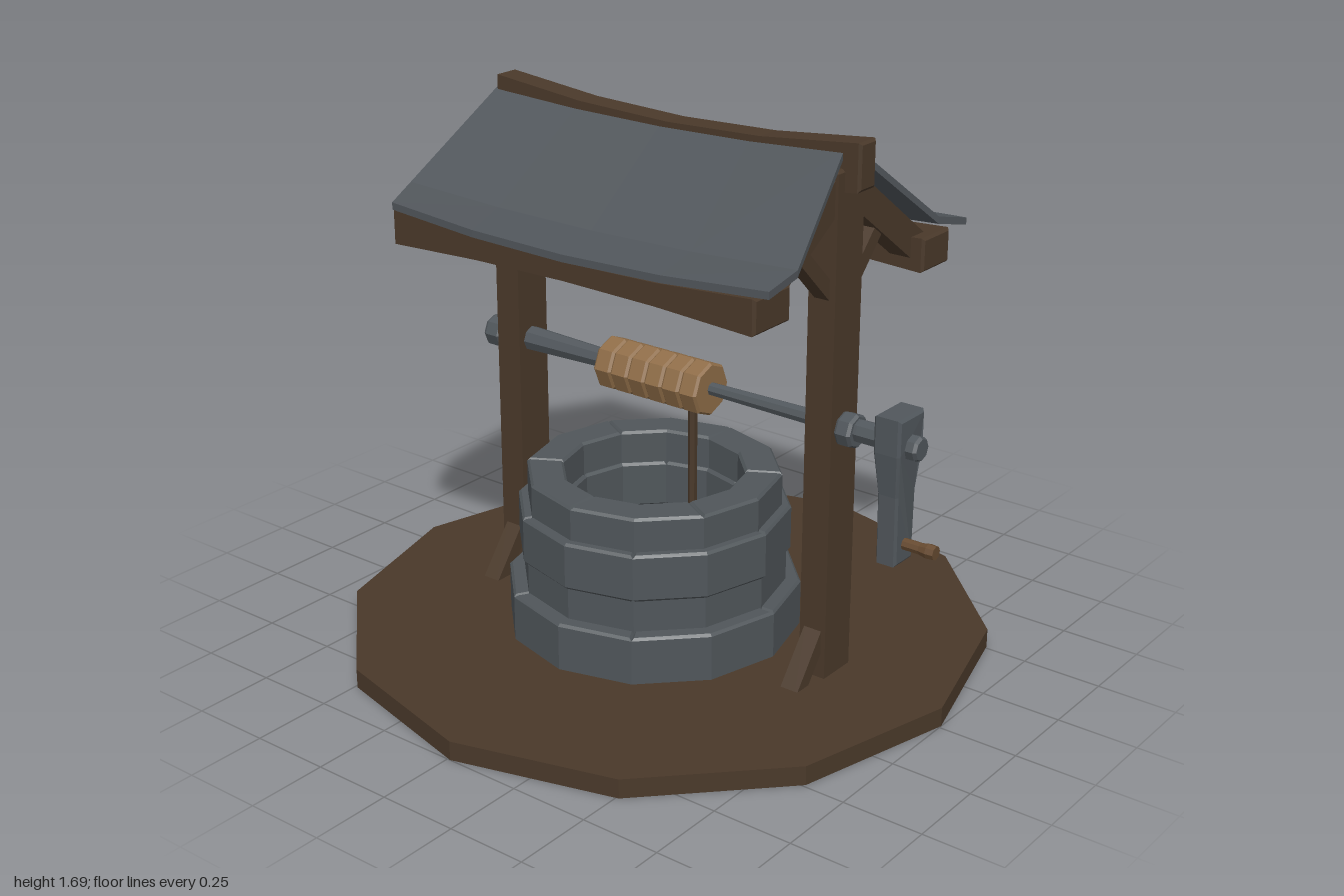
import * as THREE from 'three';

const mat = (name, color) => {
  const m = new THREE.MeshStandardMaterial({ color, flatShading: true });
  m.name = name;
  return m;
};

export function createModel() {
  const wood = mat('dark wood', 0x4a392a);
  const handleWood = mat('handle wood', 0x664a30);
  const stone = mat('stone', 0x50565a);
  const slate = mat('roof slate', 0x51565b);
  const iron = mat('iron', 0x51575c);
  const rope = mat('rope', 0x8f6d48);
  const model = new THREE.Group();
  model.name = 'well';

  const add = (name, geometry, material, parent = model) => {
    const mesh = new THREE.Mesh(geometry, material);
    mesh.name = name;
    parent.add(mesh);
    return mesh;
  };
  const group = (name) => {
    const g = new THREE.Group();
    g.name = name;
    model.add(g);
    return g;
  };
  const bevelled = (shape, depth, bevel, steps = 1) => {
    const g = new THREE.ExtrudeGeometry(shape, {
      depth: depth - 2 * bevel, steps, bevelEnabled: true, bevelSegments: 1,
      bevelSize: bevel, bevelThickness: bevel, bevelOffset: -bevel,
    });
    return g.translate(0, 0, bevel);
  };
  const polygon = (pts) => new THREE.Shape(pts.map(([x, y]) => new THREE.Vector2(x, y)));
  const reshape = (g, rule) => {
    const p = g.attributes.position, v = new THREE.Vector3();
    for (let i = 0; i < p.count; i++) {
      rule(v.fromBufferAttribute(p, i));
      p.setXYZ(i, v.x, v.y, v.z);
    }
    g.computeVertexNormals();
    return g;
  };

  // Bevelled timber from a to b; its top and bottom can sag by different amounts
  const timber = (name, a, b, w, h, parent, topSag = 0, bottomSag = 0) => {
    const from = new THREE.Vector3(...a), to = new THREE.Vector3(...b);
    const len = from.distanceTo(to);
    const rect = polygon([[-w / 2, -h / 2], [w / 2, -h / 2], [w / 2, h / 2], [-w / 2, h / 2]]);
    const g = bevelled(rect, len, 0.008, topSag ? 4 : 1);
    reshape(g, (v) => {
      v.y -= (v.y > 0 ? topSag : bottomSag) * (1 - (2 * v.z / len - 1) ** 2);
    });
    const mesh = add(name, g, wood, parent);
    mesh.position.copy(from);
    mesh.lookAt(to);
  };

  // Turned part along x: profile of [radius, x]
  const turned = (name, profile, sides, material, y, parent) => {
    const g = new THREE.LatheGeometry(profile.map(([r, x]) => new THREE.Vector2(r, x)), sides);
    g.rotateZ(-Math.PI / 2);
    add(name, g, material, parent).position.y = y;
  };

  // Ground disc
  add('ground', new THREE.CylinderGeometry(1, 1, 0.06, 12).rotateY(0.01).translate(0, 0.03, 0), wood);

  // Stone courses, six two-faceted blocks each; each course beds into the one below
  const wall = group('stoneWall');
  wall.position.set(-0.018, 0, 0.04);
  const courses = [
    [0.018, 0.21, 0.457, 0.29], [0.21, 0.325, 0.41, 0.28],
    [0.325, 0.46, 0.423, 0.268], [0.46, 0.565, 0.394, 0.28],
  ];
  courses.forEach(([y0, y1, outer, inner], row) => {
    for (let i = 0; i < 6; i++) {
      const at = (r, k) => {
        const t = (2 * i + k + row % 2) * Math.PI / 6;
        return [r * Math.cos(t), r * Math.sin(t)];
      };
      const shape = polygon([at(outer, 0), at(outer, 1), at(outer, 2), at(inner, 2), at(inner, 1), at(inner, 0)]);
      const g = bevelled(shape, y1 - y0 + 0.014, 0.008).rotateX(-Math.PI / 2).translate(0, y0 - 0.014, 0);
      add('stoneBlock', g, stone, wall);
    }
  });

  // Posts with foot braces, rafters and upper braces
  const frame = group('frame');
  for (const x of [-0.583, 0.592]) {
    timber('post', [x, 0.002, -0.005], [x, 1.61, -0.005], 0.09, 0.13, frame);
    timber('footBrace', [x, 0.01, 0.185], [x, 0.215, 0.03], 0.06, 0.045, frame);
    for (const s of [1, -1]) {
      const drop = s < 0 ? 0.035 : 0;
      timber('rafter', [x, 1.567, 0], [x, 1.31 - drop, 0.4 * s], 0.07, 0.09, frame);
      timber('upperBrace', [x, 1.245 - drop / 2, 0.035 * s], [x, 1.41, 0.205 * s], 0.05, 0.045, frame);
    }
  }
  timber('ridgeBeam', [-0.635, 1.62, -0.01], [0.685, 1.62, -0.01], 0.08, 0.14, frame, 0.045, 0.045);
  timber('frontEaveBeam', [-0.64, 1.317, 0.405], [0.67, 1.317, 0.405], 0.165, 0.105, frame, 0.03, -0.02);
  timber('backEaveBeam', [-0.64, 1.274, -0.415], [0.67, 1.274, -0.415], 0.145, 0.105, frame, 0.025, -0.02);

  // Sagging roof sheets: rows of [z, y, left x, right x] from ridge to eave
  const roofSheet = (name, rows, s) => {
    const g = new THREE.BoxGeometry(2, 0.022, 2, 4, 1, 2);
    reshape(g, (v) => {
      const row = rows[Math.round(s * v.z) + 1];
      const u = v.x, bulge = 1 - u * u;
      v.x = THREE.MathUtils.lerp(row[2], row[3], (u + 1) / 2);
      v.z = s * (row[0] + (row[0] > 0.45 ? 0.03 * bulge : 0));
      v.y += row[1] - 0.022 * bulge + 0.005 * u;
    });
    add(name, g, slate, frame);
  };
  roofSheet('frontRoof', [[0.02, 1.645, -0.635, 0.625], [0.36, 1.41, -0.685, 0.715], [0.495, 1.388, -0.63, 0.72]], 1);
  roofSheet('backRoof', [[0.03, 1.645, -0.635, 0.63], [0.37, 1.377, -0.685, 0.7], [0.5, 1.346, -0.64, 0.715]], -1);

  // Axle with collars, rope drum and hanging rope
  const winch = group('winch');
  turned('axle', [[0, -0.68], [0.045, -0.66], [0.04, -0.54], [0.03, -0.2], [0.02, 0.16], [0.025, 0.55],
    [0.035, 0.7], [0.035, 0.8], [0, 0.8]], 8, iron, 0.85, winch);
  for (const [x0, x1, r] of [[-0.7, -0.635, 0.052], [0.635, 0.69, 0.052], [0.85, 0.9, 0.038]]) {
    turned('collar', [[0, x0], [r - 0.006, x0], [r, x0 + 0.01], [r, x1 - 0.01], [r - 0.006, x1], [0, x1]],
      8, iron, 0.845, winch);
  }
  for (let i = 0; i < 6; i++) {
    const x0 = -0.22 + i * 0.065, x1 = x0 + 0.065;
    turned('ropeCoil', [[0, x0], [0.077, x0], [0.084, x0 + 0.008], [0.084, x1 - 0.008], [0.077, x1], [0, x1]],
      8, rope, 0.847, winch);
  }
  add('hangingRope', new THREE.CylinderGeometry(0.014, 0.014, 0.55, 6).translate(0.1, 0.525, 0), wood, winch);

  // Crank arm, thinner towards the grip
  const arm = polygon([[-0.046, 0.485], [0.046, 0.485], [0.05, 0.7], [0.065, 0.83], [0.065, 0.94],
    [-0.065, 0.94], [-0.065, 0.83], [-0.05, 0.7]]);
  const armGeometry = bevelled(arm, 0.088, 0.008).translate(0, 0, -0.044).rotateY(Math.PI / 2);
  reshape(armGeometry, (v) => { v.x = 0.822 + v.x * (v.y < 0.75 ? 0.76 : 1); });
  add('crankArm', armGeometry, iron, winch);
  turned('crankHandle', [[0, 0.84], [0.018, 0.84], [0.018, 0.91], [0.023, 0.935], [0.021, 0.96], [0, 0.96]],
    8, handleWood, 0.545, winch);

  return model;
}
